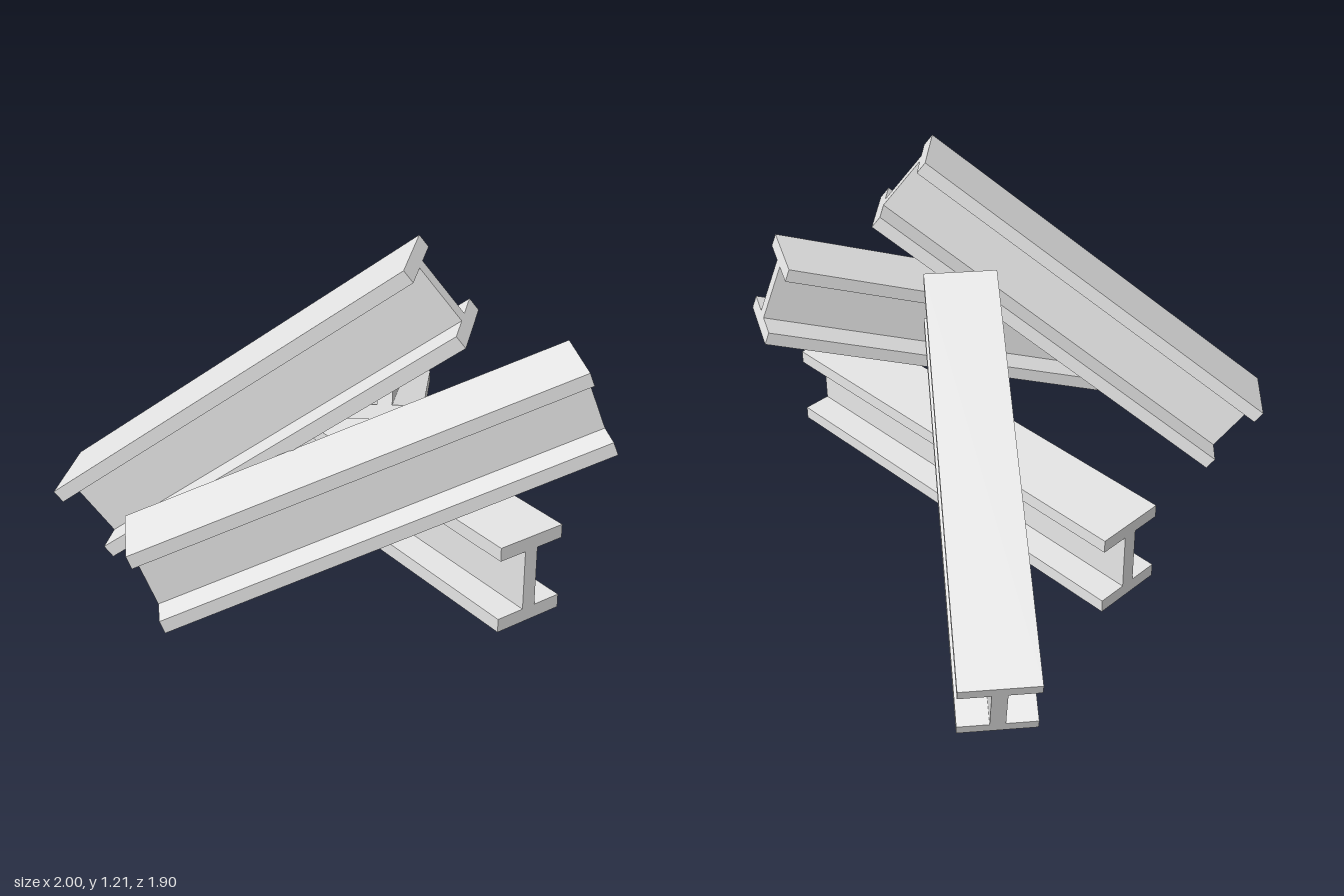
import * as THREE from 'three';

const WIDTH = 0.254, HEIGHT = 0.309, FLANGE = 0.048, WEB = 0.05;

// I-shaped cross-section with the top of the upper flange at y = 0
function beamSection() {
  const w = WIDTH / 2, t = WEB / 2, f = FLANGE, h = HEIGHT;
  const half = [[w, -h], [w, -h + f], [t, -h + f], [t, -f], [w, -f], [w, 0]];
  const mirrored = half.map(([x, y]) => [-x, y]).reverse();
  return new THREE.Shape([...half, ...mirrored].map(([x, y]) => new THREE.Vector2(x, y)));
}

// Beam whose top-flange centre line runs from start to end; across gives its roll
function makeBeam(name, start, end, across, material) {
  const a = new THREE.Vector3(...start), b = new THREE.Vector3(...end);
  const zAxis = b.clone().sub(a);
  const length = zAxis.length();
  zAxis.normalize();
  const up = new THREE.Vector3(0, 1, 0);
  const side = across ? new THREE.Vector3(...across) : up.clone().cross(zAxis);
  const yAxis = zAxis.clone().cross(side).normalize();
  const xAxis = yAxis.clone().cross(zAxis);
  const geometry = new THREE.ExtrudeGeometry(beamSection(), { depth: length, bevelEnabled: false });
  geometry.applyMatrix4(new THREE.Matrix4().makeBasis(xAxis, yAxis, zAxis).setPosition(a));
  const mesh = new THREE.Mesh(geometry, material);
  mesh.name = name;
  return mesh;
}

export function createModel() {
  const model = new THREE.Group();
  model.name = 'beamPile';
  const steel = new THREE.MeshStandardMaterial({ color: 0xe7e7e7 });
  steel.name = 'pale steel grey';

  model.add(
    // Beam lying flat on the ground
    makeBeam('groundBeam', [0.089, 0.322, -0.66], [0.089, 0.322, 0.872], null, steel),
    // Beams leaning across the pile
    makeBeam('frontLeaningBeam', [-0.94, 0.31, 0.11], [0.33, 0.846, 0.784], null, steel),
    makeBeam('backLeaningBeam', [0.902, 0.31, -0.87], [-0.015, 0.848, 0.24], null, steel),
    // Steep beam, slightly rolled
    makeBeam('steepLeaningBeam', [-0.852, 0.256, -0.475], [-0.11, 1.197, 0.487], [0.19, 0.025, -0.165], steel)
  );
  return model;
}
